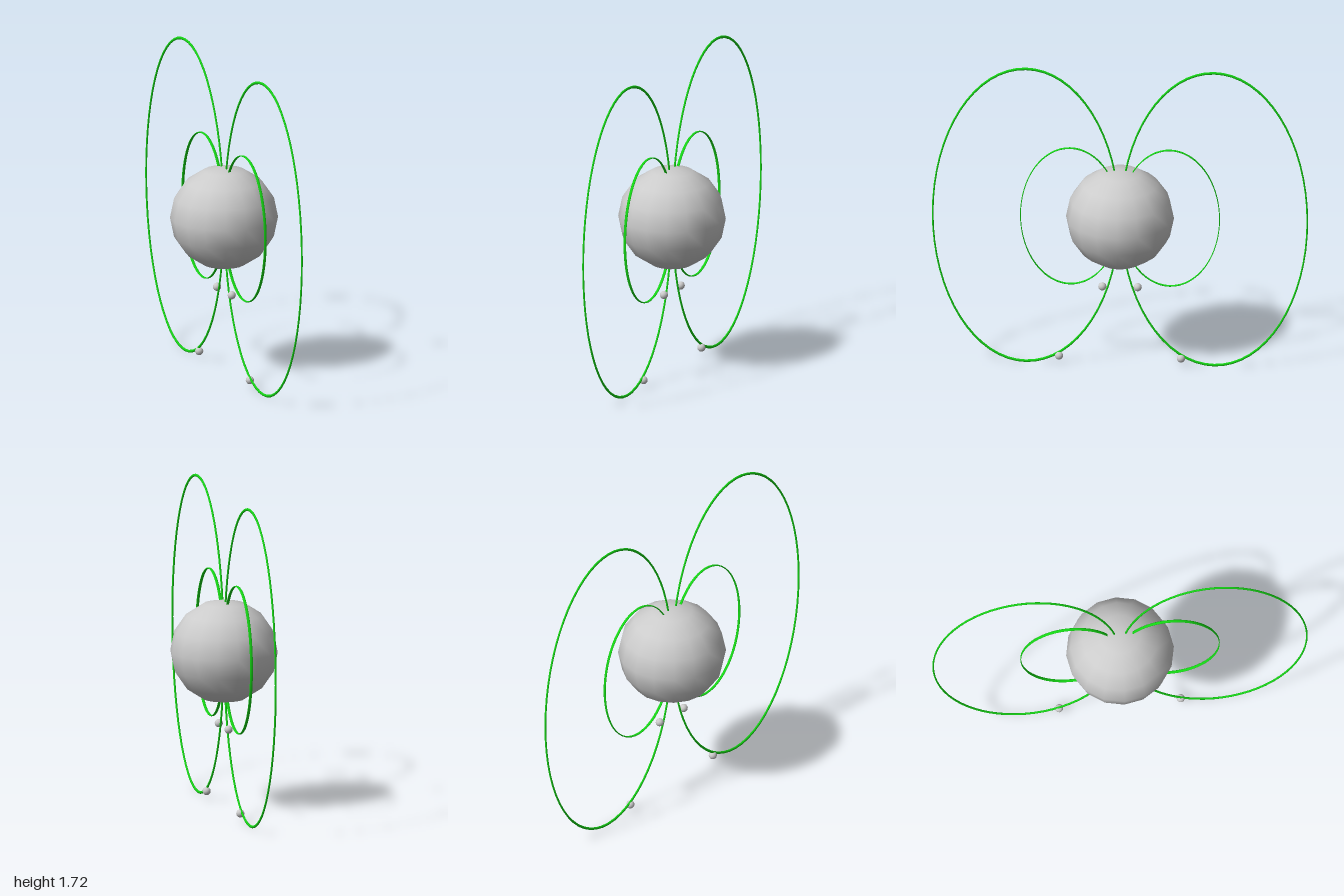
import * as THREE from 'three';

export function createModel() {
  const model = new THREE.Group();
  model.name = 'fieldLoopModel';
  const grey = new THREE.MeshStandardMaterial({ color: 0xcccccc });
  const green = new THREE.MeshStandardMaterial({ color: 0x14d614 });
  const midY = 0.862;

  const add = (name, geometry, material, x, y, z) => {
    const mesh = new THREE.Mesh(geometry, material);
    mesh.name = name;
    mesh.position.set(x, y, z);
    model.add(mesh);
    return mesh;
  };

  // slightly flattened central globe
  add('globe', new THREE.SphereGeometry(0.287, 16, 8), grey, 0, midY, 0).scale.y = 0.967;

  // elliptical wire loops: ring scaled in its plane, with its own wire width
  const ring = (halfZ, halfY, halfWidth) => {
    const tube = 0.009;
    return new THREE.TorusGeometry(1, tube, 8, 64)
      .rotateY(Math.PI / 2)
      .scale(halfWidth / tube, halfY, halfZ);
  };
  const outerLoop = ring(0.4955, 0.853, 0.0055);
  const innerLoop = ring(0.264, 0.396, 0.008);
  const bead = new THREE.SphereGeometry(0.022, 16, 8);

  for (const [side, s] of [['front', 1], ['back', -1]]) {
    add(side + 'OuterLoop', outerLoop, green, 0, midY, s * 0.5);
    add(side + 'InnerLoop', innerLoop, green, 0, midY, s * 0.265);

    // small beads below the globe
    add(side + 'UpperBead', bead, grey, 0.002, 0.455, s * 0.094);
    add(side + 'LowerBead', bead, grey, 0.003, 0.045, s * 0.324);
  }

  return model;
}
